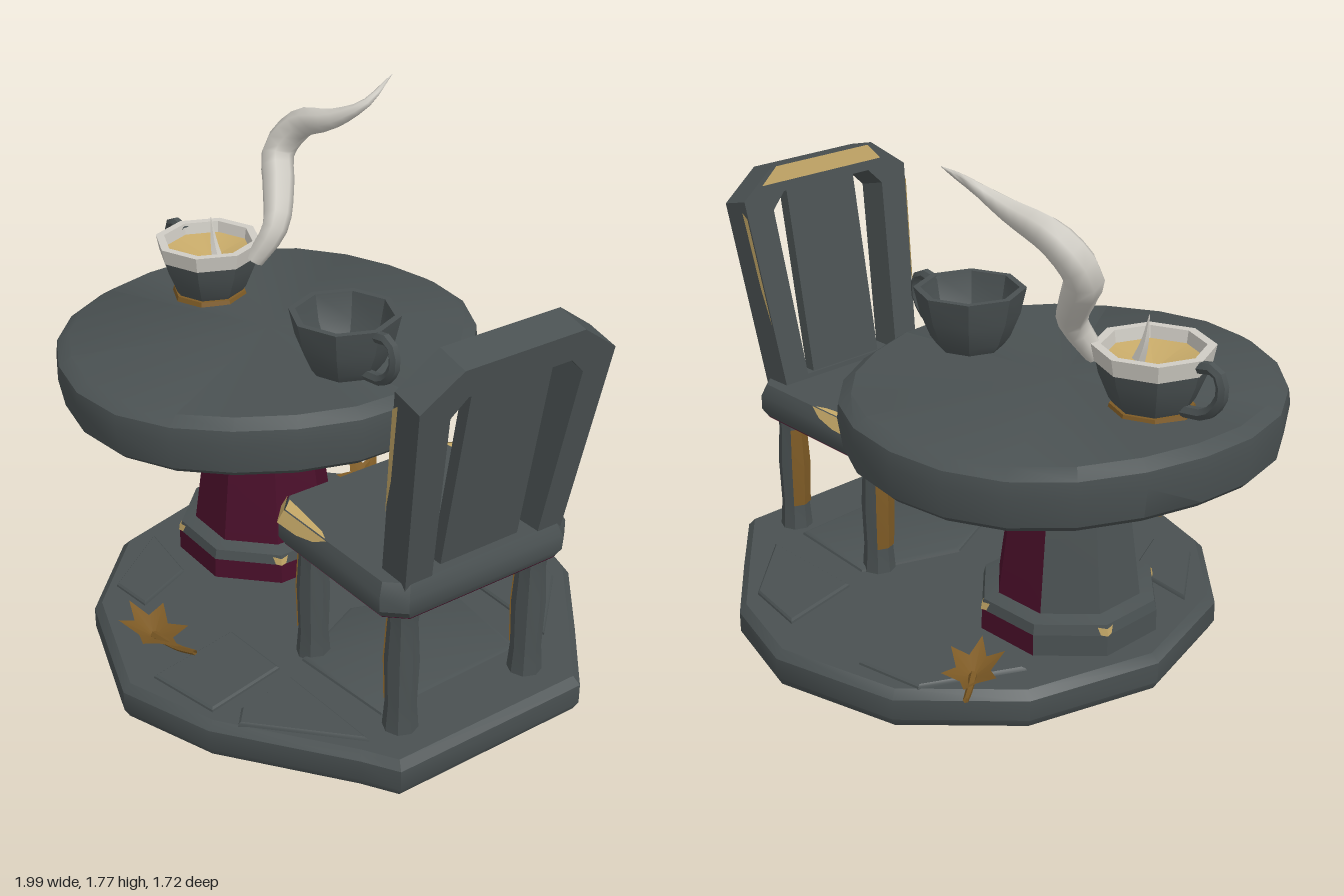
import * as THREE from 'three';
import { toCreasedNormals } from 'three/addons/utils/BufferGeometryUtils.js';

const mat = (name, color, side = THREE.FrontSide) => {
  const m = new THREE.MeshStandardMaterial({ color, side });
  m.name = name;
  return m;
};
const V = (x, y, z) => new THREE.Vector3(x, y, z);

export function createModel() {
  const grey = mat('slate grey', 0x4a5152);
  const maroon = mat('maroon', 0x4a0f2a);
  const gold = mat('gold', 0xc6a968, THREE.DoubleSide);
  const brown = mat('dry leaf brown', 0x7d5a25, THREE.DoubleSide);
  const white = mat('steam white', 0xcfccc4, THREE.DoubleSide);
  const root = new THREE.Group();

  const add = (name, geo, material, parent = root, crease = 0.6) => {
    const m = new THREE.Mesh(crease ? toCreasedNormals(geo, crease) : geo, material);
    m.name = name;
    parent.add(m);
    return m;
  };
  const group = (name, x = 0, y = 0, z = 0) => {
    const g = new THREE.Group();
    g.name = name;
    g.position.set(x, y, z);
    root.add(g);
    return g;
  };
  const lathe = (pts, segs, start = 0, len = Math.PI * 2) =>
    new THREE.LatheGeometry(pts.map(p => new THREE.Vector2(...p)), segs, start, len);
  const warp = (geo, rule) => {
    const p = geo.attributes.position, v = V(0, 0, 0);
    for (let i = 0; i < p.count; i++) {
      v.fromBufferAttribute(p, i);
      rule(v, i);
      p.setXYZ(i, v.x, v.y, v.z);
    }
    geo.computeVertexNormals();
    return geo;
  };
  const surface = (pos, idx) => {
    const g = new THREE.BufferGeometry();
    g.setAttribute('position', new THREE.Float32BufferAttribute(pos, 3));
    g.setIndex(idx);
    g.computeVertexNormals();
    return g;
  };
  // Closed solid from one outline (counter-clockwise from above) at [height, scale] levels
  const prism = (outline, levels) => {
    const n = outline.length, pos = [], idx = [];
    const cx = outline.reduce((s, p) => s + p[0], 0) / n;
    const cz = outline.reduce((s, p) => s + p[1], 0) / n;
    for (const [y, s] of levels)
      for (const [x, z] of outline) pos.push(cx + (x - cx) * s, y, cz + (z - cz) * s);
    const last = (levels.length - 1) * n, c = levels.length * n;
    pos.push(cx, levels[0][0], cz, cx, levels.at(-1)[0], cz);
    for (let j = 0; j < n; j++) {
      const k = (j + 1) % n;
      for (let r = 0; r < last; r += n)
        idx.push(r + j, r + k, r + n + j, r + k, r + n + k, r + n + j);
      idx.push(c, k, j, c + 1, last + j, last + k);
    }
    return surface(pos, idx);
  };
  // Thin convex painted patch
  const plate = (name, pts, material, parent) => {
    const idx = [];
    for (let i = 1; i < pts.length - 1; i++) idx.push(0, i, i + 1);
    return add(name, surface(pts.flat(), idx), material, parent, 0);
  };
  // Tube whose radius follows a rule along its length
  const taperedTube = (pts, steps, sides, radius) => {
    const curve = new THREE.CatmullRomCurve3(pts.map(p => V(...p)));
    const geo = new THREE.TubeGeometry(curve, steps, 1, sides);
    return warp(geo, (v, i) => {
      const t = Math.floor(i / (sides + 1)) / steps, c = curve.getPointAt(t);
      v.sub(c).multiplyScalar(radius(t)).add(c);
    });
  };

  // Stone base and raised flagstones
  add('base', prism([[0.96, -0.36], [0.72, -0.56], [0.46, -0.77], [0.14, -0.86], [-0.3, -0.75],
    [-0.6, -0.45], [-0.73, 0], [-0.61, 0.43], [-0.32, 0.71], [0.14, 0.86], [0.46, 0.74],
    [0.85, 0.44], [0.96, 0.37]], [[0, 0.98], [0.03, 1], [0.1, 1], [0.127, 0.97]]), grey);
  for (const outline of [
    [[0.82, 0.38], [0.42, 0.4], [0.46, 0.62], [0.52, 0.67]],
    [[0.72, -0.42], [0.48, -0.68], [0.24, -0.72], [0.3, -0.42]],
    [[0.72, -0.3], [0.35, -0.33], [0.22, 0.02], [0.36, 0.32], [0.74, 0.28]],
    [[0.36, 0.4], [0.1, 0.42], [0.16, 0.76], [0.42, 0.7]],
    [[-0.2, -0.4], [-0.1, -0.72], [-0.34, -0.68], [-0.5, -0.36]],
    [[-0.3, 0.36], [-0.56, 0.33], [-0.36, 0.6], [-0.2, 0.58]],
  ]) add('flagstone', prism(outline, [[0.12, 1], [0.134, 0.98], [0.14, 0.93]]), grey);

  // Round table top with a slightly worn rim
  const table = group('table', -0.315, 0, -0.02);
  add('tableTop', warp(lathe([[0, 0.78], [0.65, 0.78], [0.67, 0.8], [0.685, 0.9], [0.68, 0.95],
    [0.64, 0.978], [0, 0.978]], 22), v => {
    const a = Math.atan2(v.z, v.x), r = Math.hypot(v.x, v.z);
    const s = 1 + 0.008 * Math.sin(5 * a + 1) + 0.006 * Math.sin(3 * a + v.y * 9);
    v.x *= s;
    v.z *= s * 1.08;
    if (r > 0.5) v.y += 0.006 * Math.sin(4 * a);
  }), grey, table);

  // Octagonal pedestal: three grey sides, five maroon sides
  const ped = group('pedestal', -0.33, 0, 0);
  const e = Math.PI / 8;
  const shaft = [[0.25, 0.24], [0.215, 0.5], [0.18, 0.73], [0.235, 0.785]];
  const plinth = [[0.31, 0.12], [0.308, 0.2]];
  for (const [name, material, start, n] of [['Painted', maroon, -e, 5], ['Bare', grey, 9 * e, 3]]) {
    add('shaft' + name, lathe(shaft, n, start, n * 2 * e), material, ped, 0.3);
    add('plinth' + name, lathe(plinth, n, start, n * 2 * e), material, ped, 0.3);
  }
  add('plinthTop', lathe([[0.308, 0.2], [0.3, 0.235], [0.24, 0.25]], 8, -e), grey, ped, 0.3);
  add('plinthTrim', warp(lathe([[0.312, 0.2], [0.308, 0.225]], 16, -e), v => {
    // flatten the mid points onto the octagon and waver the edge
    const a = Math.atan2(v.x, v.z), mid = Math.abs(Math.cos(4 * (a + e))) < 0.99
      || Math.cos(8 * (a + e)) < 0 || Math.abs(Math.sin(4 * (a + e))) > 0.5
      || Math.cos(4 * (a + e)) * Math.cos(8 * (a + e)) < 0;
    if (mid) { v.x *= Math.cos(e); v.z *= Math.cos(e); }
    const k = Math.round((a + e) / e);
    if (k % 2) { v.x *= Math.cos(e); v.z *= Math.cos(e); v.y += 0.008; }
  }), gold, ped, 0.3);

  // Chair seat
  const chair = group('chair');
  const seat = [[0.89, -0.3], [0.83, -0.365], [0.32, -0.375], [0.25, -0.31],
    [0.25, 0.31], [0.32, 0.375], [0.83, 0.365], [0.89, 0.3]];
  add('seat', prism(seat, [[0.58, 0.95], [0.61, 1], [0.66, 1], [0.702, 0.95]]), grey, chair);
  add('seatUnderside', prism(seat, [[0.572, 0.93], [0.581, 0.955]]), maroon, chair);

  // Chair legs with worn inner patches
  for (const x of [0.34, 0.805]) for (const z of [-0.255, 0.255]) {
    const leg = [[0.058, 0.12], [0.05, 0.22], [0.055, 0.38], [0.047, 0.52], [0.054, 0.59]];
    add('chairLeg', lathe(leg, 8), grey, chair).position.set(x, 0, z);
    add('legWear', lathe(leg.slice(1, 4).map(([r, y]) => [r + 0.004, y]), 2, Math.PI * 1.25,
      Math.PI / 2), brown, chair).position.set(x, 0, z);
  }

  // Leaning chair back: arched frame and inset panel
  const front = y => 0.76 + (y - 0.7) * 0.17;
  const side = y => 0.3 + (y - 0.66) * 0.086;
  const lean = geo => warp(geo, v => {
    v.x += front(v.y);
    v.y -= (v.x - front(v.y)) * 0.25;
  });
  const poly = pts => pts.map(p => new THREE.Vector2(...p));
  const frame = new THREE.Shape(poly([[-0.3, 0.66], [0.3, 0.66], [0.36, 1.36], [0.22, 1.46],
    [-0.22, 1.46], [-0.36, 1.36]]));
  frame.holes.push(new THREE.Path(poly([[-0.205, 0.71], [-0.245, 1.31], [-0.19, 1.365],
    [0.19, 1.365], [0.245, 1.31], [0.205, 0.71]])));
  add('backFrame', lean(new THREE.ExtrudeGeometry(frame, { depth: 0.11, bevelEnabled: false })
    .rotateY(Math.PI / 2)), grey, chair, 0.3);
  add('backPanel', lean(new THREE.BoxGeometry(0.04, 0.72, 0.3).translate(0.06, 1.04, 0)),
    grey, chair, 0.3);

  // Worn gold edges on the chair
  plate('railWear', [[front(1.4) - 0.004, 1.4, -0.28], [front(1.4) - 0.004, 1.4, 0.25],
    [front(1.455) - 0.004, 1.455, 0.2], [front(1.455) - 0.004, 1.455, -0.21]], gold, chair);
  for (const s of [-1, 1]) {
    plate('postWear', [[0.92, 0], [1.3, 0], [1.32, 0.022], [1.05, 0.016]].map(([y, d]) =>
      [front(y) + d, y, s * (side(y) + 0.004)]), gold, chair);
    plate('seatTopWear', [[0.29, 0.706, s * 0.31], [0.33, 0.706, s * 0.355],
      [0.54, 0.706, s * 0.352], [0.5, 0.706, s * 0.335]], gold, chair);
    plate('seatSideWear', [[0.33, 0.705, s * 0.36], [0.55, 0.705, s * 0.357],
      [0.5, 0.68, s * 0.37], [0.42, 0.665, s * 0.378], [0.32, 0.662, s * 0.38]], gold, chair);
    plate('seatCornerWear', [[0.264, 0.705, s * 0.3], [0.33, 0.705, s * 0.36],
      [0.32, 0.662, s * 0.38], [0.246, 0.662, s * 0.313]], gold, chair);
  }

  // Two octagonal cups with looped handles
  const cup = (name, x, z, dir) => {
    const g = group(name, x, 0.98, z);
    add('cupBowl', lathe([[0, 0], [0.11, 0], [0.132, 0.03], [0.165, 0.11], [0.185, 0.2],
      [0.162, 0.2], [0.145, 0.11], [0.1, 0.03], [0, 0.025]], 8), grey, g, 0.5);
    add('cupHandle', taperedTube([[0.15, 0.175, 0], [0.24, 0.185, 0], [0.265, 0.12, 0],
      [0.215, 0.045, 0], [0.12, 0.025, 0]].map(([a, b, c]) => [a * dir, b, c]),
    10, 6, () => 0.02), grey, g);
    return g;
  };
  cup('emptyCup', 0.085, -0.05, 1);
  const full = cup('fullCup', -0.672, -0.01, -1);
  add('coffee', lathe([[0, 0.12], [0.158, 0.165]], 8), gold, full, 0.3);
  add('cupFoot', lathe([[0.135, -0.005], [0.13, 0.012], [0.1, 0.014]], 8), brown, full, 0.3);
  add('foamRim', lathe([[0.178, 0.148], [0.189, 0.203], [0.159, 0.203], [0.152, 0.16]], 8),
    white, full, 0.4);

  // Rising steam
  add('steam', taperedTube([[-0.52, 1.13, -0.1], [-0.49, 1.25, -0.17], [-0.57, 1.36, -0.24],
    [-0.64, 1.46, -0.29], [-0.58, 1.56, -0.34], [-0.42, 1.62, -0.37], [-0.32, 1.69, -0.43],
    [-0.335, 1.765, -0.55]], 22, 7,
  t => 0.034 + 0.026 * Math.sin(Math.PI * Math.min(t * 1.2, 1)) - 0.033 * t ** 4), white, root, 1.2);
  add('steamWisp', taperedTube([[-0.61, 1.11, -0.01], [-0.635, 1.18, -0.01],
    [-0.65, 1.27, -0.01]], 6, 5, t => 0.022 * (1 - t) + 0.001), white, root, 1.2);

  // Curled fallen leaves with stems
  for (const [x, z, turn] of [[-0.02, 0.65, 0], [-0.42, -0.52, 2.2]]) {
    const leaf = group('fallenLeaf', x, 0.137, z);
    leaf.rotation.y = turn;
    add('leafBlade', warp(new THREE.CircleGeometry(1, 12).rotateX(-Math.PI / 2), (v, i) => {
      if (!i) return;
      const tip = i % 2;
      v.x *= tip ? 0.16 : 0.09;
      v.z *= tip ? 0.1 : 0.055;
      v.y = tip ? 0.055 : 0.03;
    }), brown, leaf, 0.3);
    add('leafStem', taperedTube([[0, 0.008, 0], [0.13, 0.03, -0.01], [0.23, 0.065, -0.02]],
      6, 5, t => 0.014 - 0.005 * t), brown, leaf);
  }
  return root;
}
